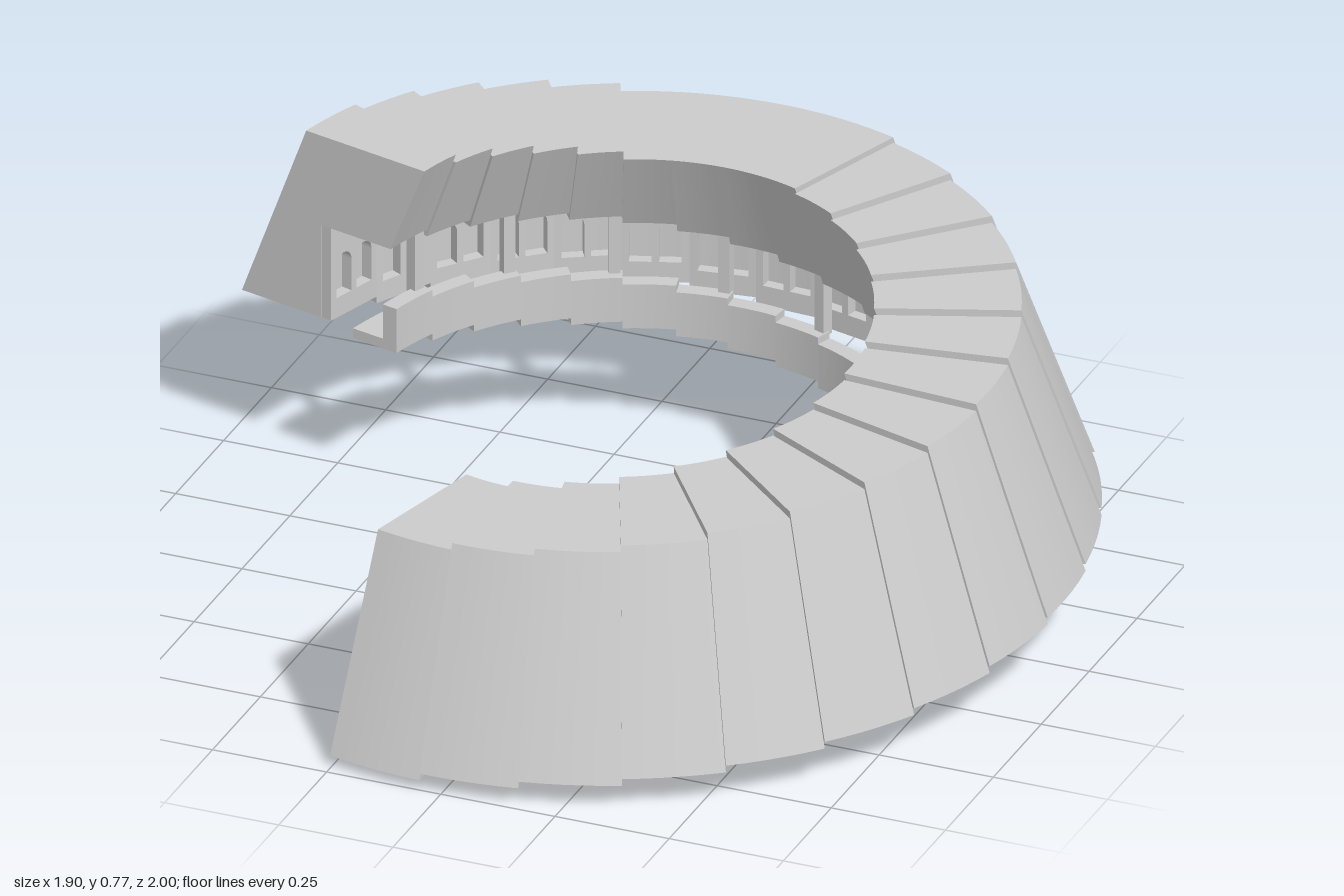
import * as THREE from 'three';

const stone = new THREE.MeshStandardMaterial({ color: 0xcccccc });
stone.name = 'paleStone';

const CENTER_X = -0.022, SQUEEZE = 0.037;   // slightly oval plan
const rad = THREE.MathUtils.degToRad;

// Point on the oval of radius r at an angle measured from the front
function onOval(r, y, deg) {
  const a = rad(deg);
  return new THREE.Vector3(CENTER_X + (r - SQUEEZE) * Math.sin(a), y, r * Math.cos(a));
}

// Sweep a counter-clockwise (radius, height) profile along the oval, crisp between faces
function sweep(profile, from, to, steps = 5) {
  const pos = [], index = [];
  const add = (p, deg) => {
    pos.push(...onOval(p[0], p[1], deg).toArray());
    return pos.length / 3 - 1;
  };
  profile.forEach((p, i) => {
    const q = profile[(i + 1) % profile.length];
    let last = null;
    for (let s = 0; s <= steps; s++) {
      const deg = from + (to - from) * s / steps;
      const now = [add(p, deg), add(q, deg)];
      if (last) index.push(last[0], now[0], now[1], last[0], now[1], last[1]);
      last = now;
    }
  });
  const faces = THREE.ShapeUtils.triangulateShape(profile.map(p => new THREE.Vector2(...p)), []);
  const start = profile.map(p => add(p, from));
  const end = profile.map(p => add(p, to));
  for (const [a, b, c] of faces) {
    index.push(start[a], start[b], start[c], end[a], end[c], end[b]);
  }
  const geo = new THREE.BufferGeometry();
  geo.setAttribute('position', new THREE.Float32BufferAttribute(pos, 3));
  geo.setIndex(index);
  geo.computeVertexNormals();
  return geo;
}

// Wall panel with two arched openings
function arcadePanel(width, height, depth) {
  const shape = new THREE.Shape();
  shape.moveTo(0, 0);
  shape.lineTo(width, 0);
  shape.lineTo(width, height);
  shape.lineTo(0, height);
  shape.closePath();
  const r = 0.023;
  for (const t of [0.28, 0.72]) {
    const x = width * t, hole = new THREE.Path();
    hole.moveTo(x - r, 0.045);
    hole.lineTo(x - r, 0.118);
    hole.absarc(x, 0.118, r, Math.PI, 0, true);
    hole.lineTo(x + r, 0.045);
    hole.closePath();
    shape.holes.push(hole);
  }
  return new THREE.ExtrudeGeometry(shape, { depth, bevelEnabled: false, curveSegments: 8 });
}

export function createModel() {
  const model = new THREE.Group();
  model.name = 'spiralGallery';
  const addMesh = (geo, name, parent) => {
    const mesh = new THREE.Mesh(geo, stone);
    mesh.name = name;
    parent.add(mesh);
    return mesh;
  };

  // Angles where the stepped sections meet
  const bounds = [];
  for (let i = 0; i < 14; i++) bounds.push(-14 + 12.5 * i);
  for (let i = 0; i < 4; i++) bounds.push(161 + 10.75 * i);
  for (let i = 0; i <= 5; i++) bounds.push(204 + 10.4 * i);

  for (let i = 0; i < bounds.length - 1; i++) {
    const from = bounds[i], to = bounds[i + 1];
    const base = 0.022 + i * 0.0152;
    const top = i < 14 ? 0.47 + i * 0.0152 : 0.68 + Math.max(0, i - 17) * 0.018;
    const soffit = base + 0.21;
    const section = new THREE.Group();
    section.name = 'section' + (i + 1);
    model.add(section);

    // Sloping outer wall with the overhanging upper storey
    addMesh(sweep([
      [0.8, base], [1.0, base], [0.838, top], [0.54, top], [0.625, soffit], [0.8, soffit],
    ], from, to), 'outerWall', section);

    // Arched wall behind the walkway
    const a = onOval(0.775, base, from), b = onOval(0.775, base, to);
    const panel = addMesh(arcadePanel(a.distanceTo(b), 0.21, 0.025), 'arcade', section);
    panel.position.copy(a);
    panel.rotation.y = Math.atan2(a.z - b.z, b.x - a.x);

    // Walkway with its parapet
    const floor = base - 0.022;
    addMesh(sweep([
      [0.61, floor], [0.72, floor], [0.72, floor + 0.022], [0.645, floor + 0.022],
      [0.645, floor + 0.1], [0.61, floor + 0.1],
    ], from, to), 'walkway', section);

    // Posts carrying the overhang
    if (i % 2 === 0) {
      const post = addMesh(new THREE.BoxGeometry(0.025, 0.14, 0.025), 'post', section);
      post.position.copy(onOval(0.643, soffit - 0.07, from + 1.5));
      post.rotation.y = rad(from);
    }
  }
  return model;
}
